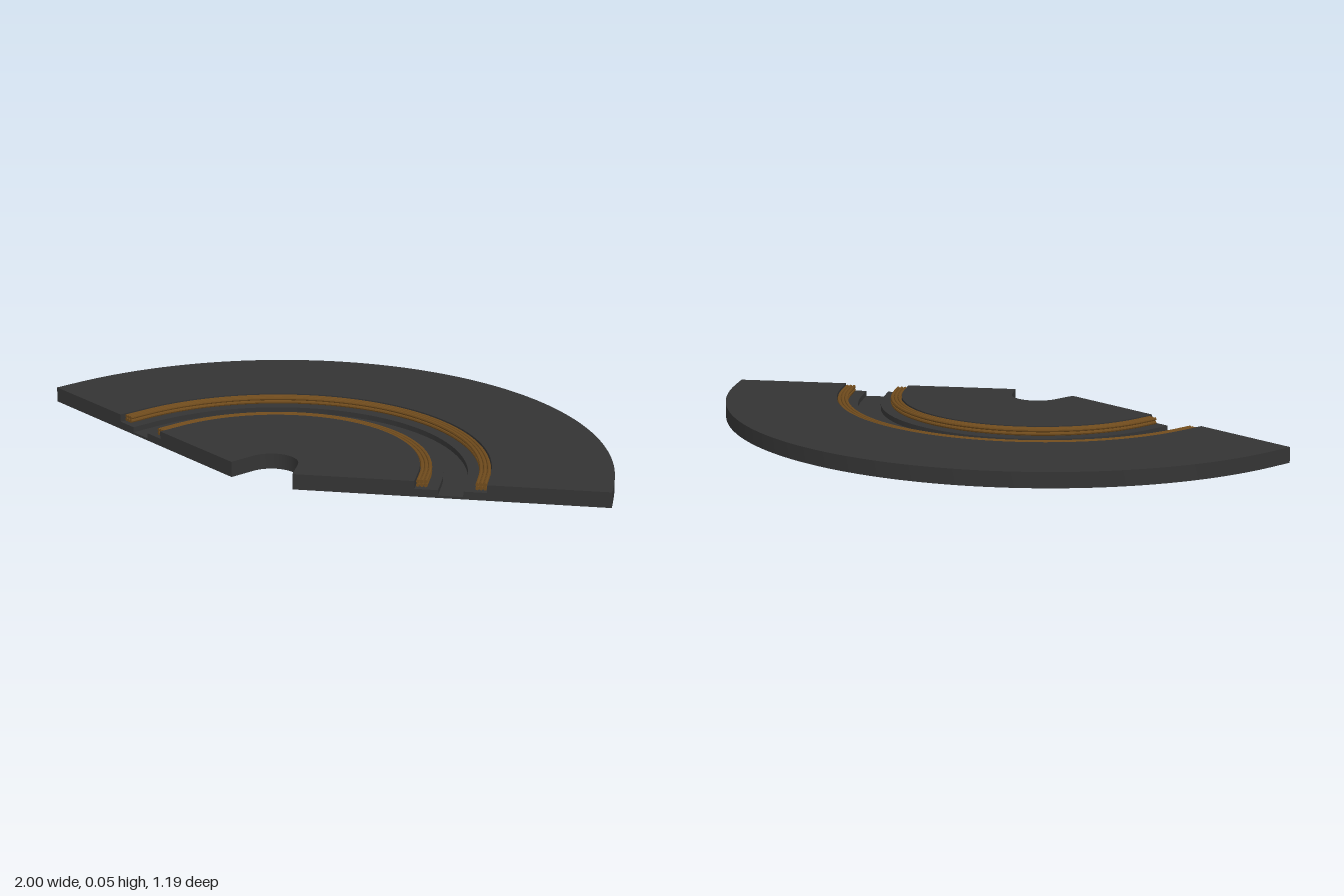
import * as THREE from 'three';

const UP = new THREE.Vector3(0, 1, 0);
const CENTRE = new THREE.Vector3(0.1, 0, 0.505);
const SWEEP = THREE.MathUtils.degToRad(140);
const STEPS = 72;
const TOP = 0.052;

const plateMat = new THREE.MeshStandardMaterial({ color: 0x343434, side: THREE.DoubleSide });
plateMat.name = 'dark grey';
const wireMat = new THREE.MeshStandardMaterial({ color: 0x6e4a1c });
wireMat.name = 'copper brown';

// Stations along the path: straight lead-in, 140 degree arc, straight lead-out
function makePath(lead) {
  const stations = [];
  const add = (t, shift) => {
    const a = t * SWEEP;
    const dir = new THREE.Vector3(-Math.cos(a), 0, -Math.sin(a));
    const along = new THREE.Vector3(Math.sin(a), 0, -Math.cos(a));
    stations.push({ dir, origin: CENTRE.clone().addScaledVector(along, shift) });
  };
  add(0, -lead);
  for (let i = 0; i <= STEPS; i++) add(i / STEPS, 0);
  add(1, lead);
  return stations;
}

// Sweeps a [radius, height] profile; each profile edge stays sharp
function sweep(profile, path) {
  const pos = [], index = [];
  for (let k = 0; k < profile.length - 1; k++) {
    const base = pos.length / 3;
    path.forEach(({ dir, origin }, i) => {
      for (const [r, y] of [profile[k], profile[k + 1]]) {
        pos.push(origin.x + dir.x * r, y, origin.z + dir.z * r);
      }
      if (i < path.length - 1) {
        const a = base + i * 2;
        index.push(a, a + 2, a + 1, a + 1, a + 2, a + 3);
      }
    });
  }
  const geo = new THREE.BufferGeometry();
  geo.setAttribute('position', new THREE.Float32BufferAttribute(pos, 3));
  geo.setIndex(index);
  geo.computeVertexNormals();
  return geo;
}

// Flat end face at one station, facing away from the sweep
function endFace(profile, station, sign) {
  const shape = new THREE.Shape(profile.map(([r, y]) => new THREE.Vector2(r * sign, y)));
  const x = station.dir.clone().multiplyScalar(sign);
  const m = new THREE.Matrix4().makeBasis(x, UP, x.clone().cross(UP)).setPosition(station.origin);
  return new THREE.ShapeGeometry(shape).applyMatrix4(m);
}

function sweptPart(name, profile, path, material) {
  const part = new THREE.Group();
  part.name = name;
  const add = (suffix, geo) => {
    const mesh = new THREE.Mesh(geo, material);
    mesh.name = name + suffix;
    part.add(mesh);
  };
  add('Surface', sweep(profile, path));
  add('StartFace', endFace(profile, path[0], -1));
  add('EndFace', endFace(profile, path[path.length - 1], 1));
  return part;
}

export function createModel() {
  const model = new THREE.Group();
  model.name = 'curvedGroovePlate';

  // Hollow plate with a stepped groove, open underneath
  const plateProfile = [
    [0.09, 0], [0.09, TOP], [0.48, TOP], [0.48, 0.026], [0.555, 0.026], [0.555, 0.008],
    [0.635, 0.008], [0.635, 0.026], [0.71, 0.026], [0.71, TOP], [1.1, TOP], [1.1, 0],
  ];
  model.add(sweptPart('plate', plateProfile, makePath(0.088), plateMat));

  // Bundles of wire lying on both groove shelves
  const wirePath = makePath(0.07);
  const wireRadius = 0.0062;
  for (const [name, middle] of [['innerWire', 0.501], ['outerWire', 0.689]]) {
    const bundle = new THREE.Group();
    bundle.name = name + 'Bundle';
    for (let row = 0; row < 2; row++) {
      for (let col = -1; col <= 1; col++) {
        const profile = [];
        for (let i = 0; i <= 8; i++) {
          const a = (i / 8) * Math.PI * 2;
          profile.push([
            middle + col * 0.0125 - wireRadius * Math.cos(a),
            0.0325 + row * 0.0122 + wireRadius * Math.sin(a),
          ]);
        }
        bundle.add(sweptPart(name, profile, wirePath, wireMat));
      }
    }
    model.add(bundle);
  }
  return model;
}
